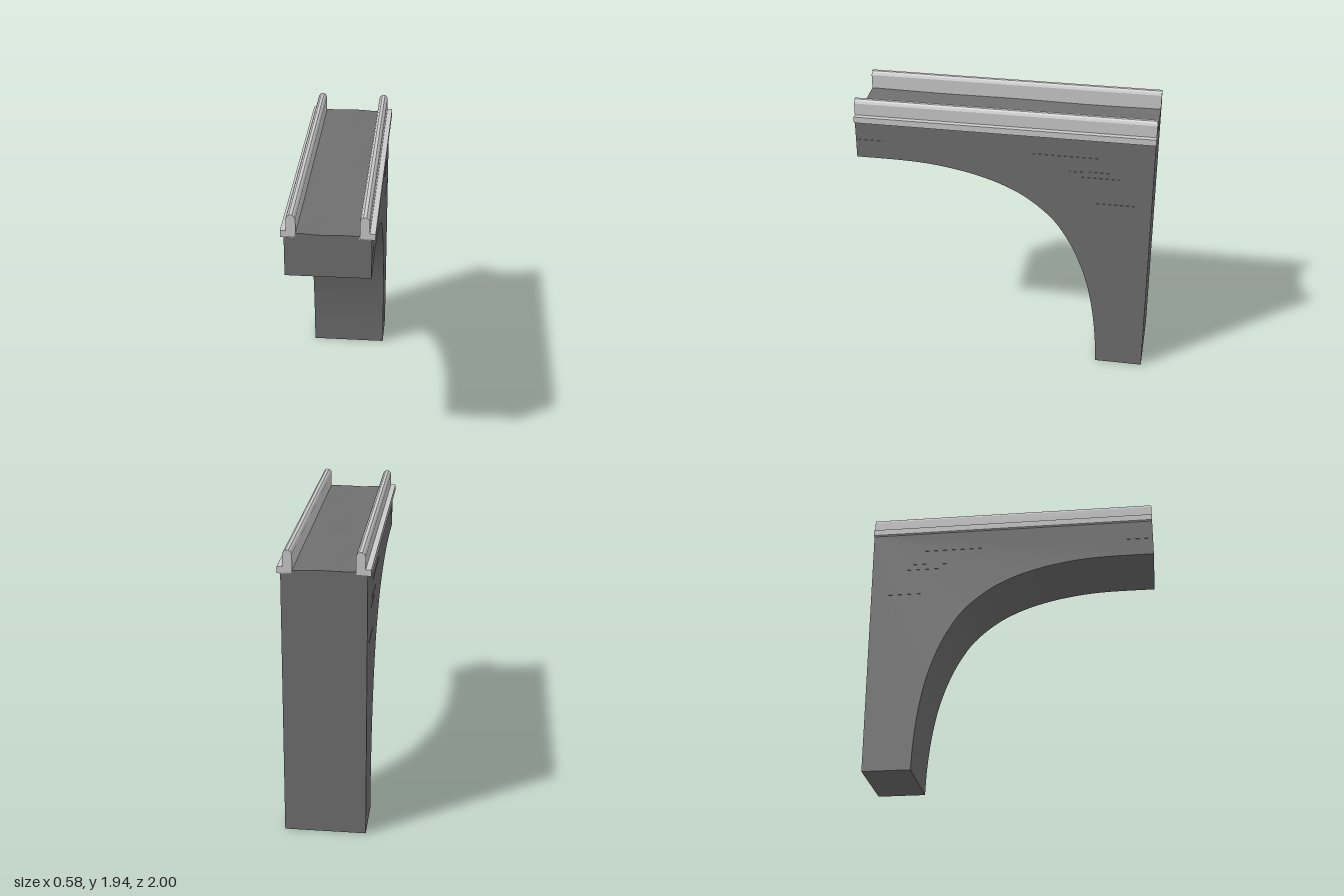
import * as THREE from 'three';
import { toCreasedNormals } from 'three/addons/utils/BufferGeometryUtils.js';

const stone = new THREE.MeshStandardMaterial({ color: 0x707070 });
const trim = new THREE.MeshStandardMaterial({ color: 0xcccccc });
const HALF_WIDTH = 0.268;
const BODY_TOP = 1.797;

function addMesh(parent, name, geometry, material) {
  const mesh = new THREE.Mesh(geometry, material);
  mesh.name = name;
  parent.add(mesh);
  return mesh;
}

// Pier and half arch: side profile (z, y) extruded across the width
function archGeometry() {
  const soffit = new THREE.SplineCurve([
    [1, 1.525], [0.7, 1.524], [0.5, 1.513], [0.3, 1.483], [0.15, 1.447], [0, 1.395],
    [-0.15, 1.318], [-0.3, 1.2], [-0.4, 1.08], [-0.5, 0.9], [-0.58, 0.68],
    [-0.63, 0.45], [-0.66, 0.2], [-0.67, 0],
  ].map(([z, y]) => new THREE.Vector2(z, y)));
  const shape = new THREE.Shape([
    new THREE.Vector2(-1, 0),
    new THREE.Vector2(-1, BODY_TOP),
    new THREE.Vector2(1, BODY_TOP),
    ...soffit.getPoints(48),
  ]);
  const geo = new THREE.ExtrudeGeometry(shape, { depth: 2 * HALF_WIDTH, bevelEnabled: false });
  geo.rotateY(-Math.PI / 2).translate(HALF_WIDTH, 0, 0);
  return toCreasedNormals(geo, Math.PI / 6);
}

// Worn roadway: a thin slab whose top gently undulates
function deckGeometry() {
  const geo = new THREE.BoxGeometry(0.4, 0.018, 2, 12, 1, 40);
  geo.translate(0, BODY_TOP + 0.009, 0);
  const p = geo.attributes.position;
  for (let i = 0; i < p.count; i++) {
    if (p.getY(i) < BODY_TOP + 0.01) continue;
    const x = p.getX(i), z = p.getZ(i);
    p.setY(i, p.getY(i) + 0.004 * Math.sin(19 * x + 2 * z) * Math.cos(4 * z + 5 * x));
  }
  return toCreasedNormals(geo, Math.PI / 6);
}

// Parapet: projecting foot with a wall and rounded coping, on side s
function parapetGeometry(s) {
  const profile = [
    [0.19, 1.79], [0.29, 1.79], [0.29, 1.833], [0.255, 1.833], [0.255, 1.915],
    [0.247, 1.931], [0.235, 1.94], [0.215, 1.94], [0.203, 1.931], [0.195, 1.915],
    [0.195, 1.81], [0.19, 1.81],
  ].map(([x, y]) => new THREE.Vector2(s * x, y));
  const geo = new THREE.ExtrudeGeometry(new THREE.Shape(profile), { depth: 2, bevelEnabled: false });
  return geo.translate(0, 0, -1);
}

export function createModel() {
  const model = new THREE.Group();
  model.name = 'archBridgeSection';

  addMesh(model, 'pierAndArch', archGeometry(), stone);
  addMesh(model, 'deck', deckGeometry(), stone);
  addMesh(model, 'leftParapet', parapetGeometry(1), trim);
  addMesh(model, 'rightParapet', parapetGeometry(-1), trim);

  // Shallow weathered ridges on both flanks: z, y, length
  const ridges = [
    [0.9, 1.655, 0.17], [-0.42, 1.65, 0.44], [-0.49, 1.54, 0.09], [-0.64, 1.545, 0.13],
    [-0.65, 1.503, 0.25], [-0.75, 1.31, 0.27],
  ];
  const weathering = new THREE.Group();
  weathering.name = 'weathering';
  model.add(weathering);
  for (const s of [-1, 1]) {
    for (const [z, y, length] of ridges) {
      const ridge = addMesh(weathering, 'ridge', new THREE.BoxGeometry(0.006, 0.007, length), stone);
      ridge.position.set(s * HALF_WIDTH, y, z);
    }
  }
  return model;
}
